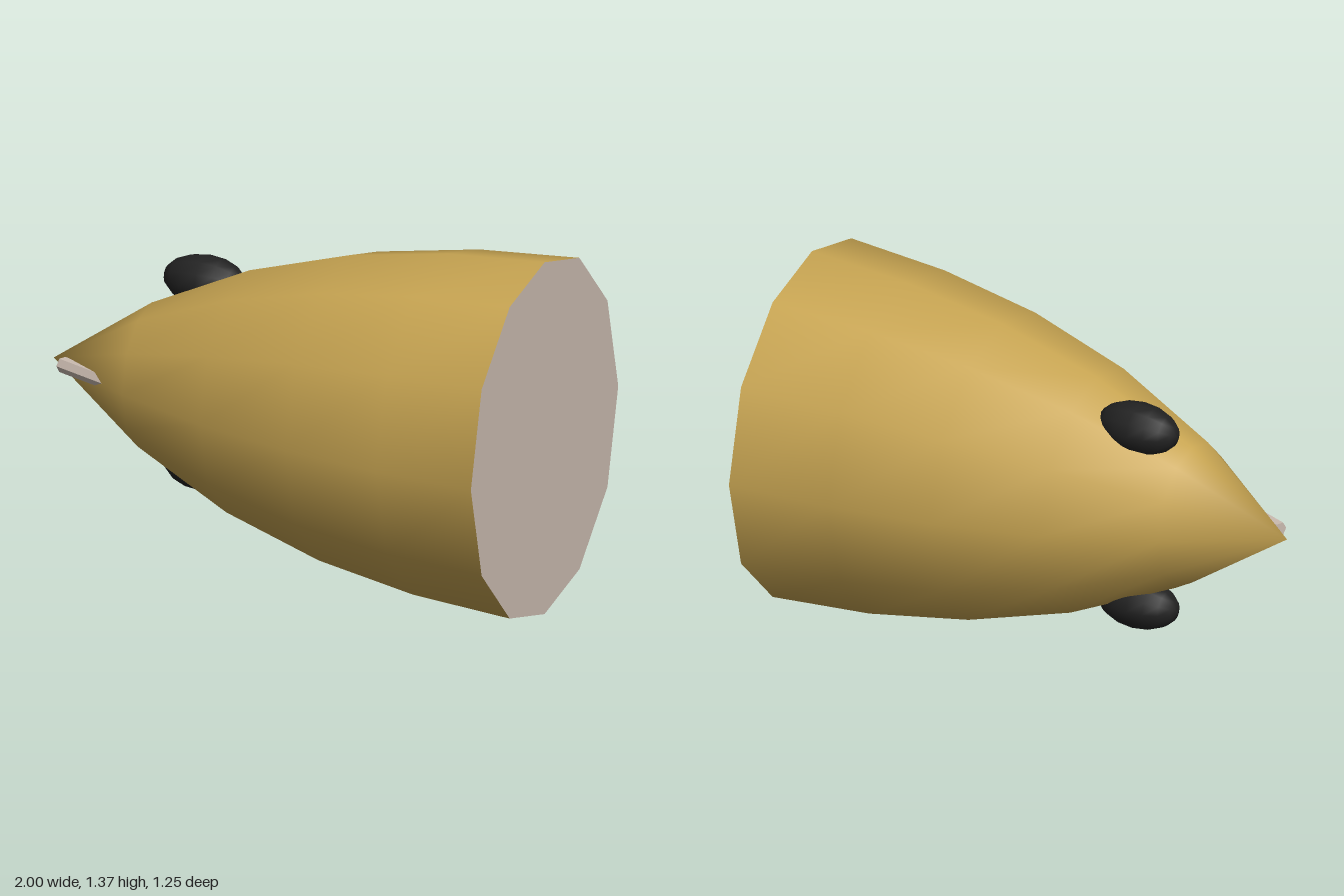
import * as THREE from 'three';

const CENTER_Y = 0.69;

export function createModel() {
  const gold = new THREE.MeshStandardMaterial({ color: 0xc8a552 });
  gold.name = 'gold';
  const black = new THREE.MeshStandardMaterial({ color: 0x222222 });
  black.name = 'black';
  const palePink = new THREE.MeshStandardMaterial({ color: 0xcbbcb1 });
  palePink.name = 'pale pink';

  const group = new THREE.Group();
  const add = (name, geometry, material) => {
    const mesh = new THREE.Mesh(geometry, material);
    mesh.name = name;
    group.add(mesh);
    return mesh;
  };

  // Twelve-sided cross-section as [z, y], clockwise from the top
  const quarter = [[0, 0.687], [0.295, 0.608], [0.532, 0.364], [0.623, 0]];
  const half = [...quarter, ...quarter.slice(0, 3).reverse().map(([z, y]) => [z, -y])];
  const section = [...half, ...half.slice(1, -1).reverse().map(([z, y]) => [-z, y])];
  const sides = section.length;

  // Body: one shared tip point, then growing rings
  const rings = [[-0.6, 0.405], [-0.2, 0.68], [0.2, 0.856], [0.6, 0.957], [1, 1]];
  const positions = [-1, CENTER_Y, 0];
  const indices = [];
  rings.forEach(([x, scale], i) => {
    section.forEach(([z, y], j) => {
      positions.push(x, CENTER_Y + y * scale, z * scale);
      const next = (j + 1) % sides;
      const c = 1 + i * sides + j;
      const d = 1 + i * sides + next;
      if (i === 0) {
        indices.push(0, d, c);
      } else {
        const a = c - sides;
        const b = d - sides;
        indices.push(a, b, c, b, d, c);
      }
    });
  });
  const body = new THREE.BufferGeometry();
  body.setAttribute('position', new THREE.Float32BufferAttribute(positions, 3));
  body.setIndex(indices);
  body.computeVertexNormals();
  add('body', body, gold);

  // Flat end closing the wide side
  const outline = new THREE.Shape(section.map(([z, y]) => new THREE.Vector2(-z, y)));
  const cap = new THREE.ShapeGeometry(outline);
  cap.rotateY(Math.PI / 2);
  add('endCap', cap, palePink).position.set(1, CENTER_Y, 0);

  // Eyes, mirrored above and below the axis
  for (const side of [1, -1]) {
    const eye = new THREE.SphereGeometry(1, 12, 8);
    eye.rotateZ(Math.PI / 2);
    eye.scale(0.165, 0.098, 0.095);
    add(side > 0 ? 'upperEye' : 'lowerEye', eye, black)
      .position.set(-0.428, CENTER_Y + side * 0.36, -0.095);
  }

  // Small faceted rod lying along the snout
  let rod = new THREE.CylinderGeometry(0.03, 0.03, 0.29, 6);
  rod.rotateZ(-Math.PI / 2);
  rod.rotateY(-0.39);
  rod = rod.toNonIndexed();
  rod.computeVertexNormals();
  add('snoutRod', rod, palePink).position.set(-0.805, CENTER_Y, 0.109);

  return group;
}
